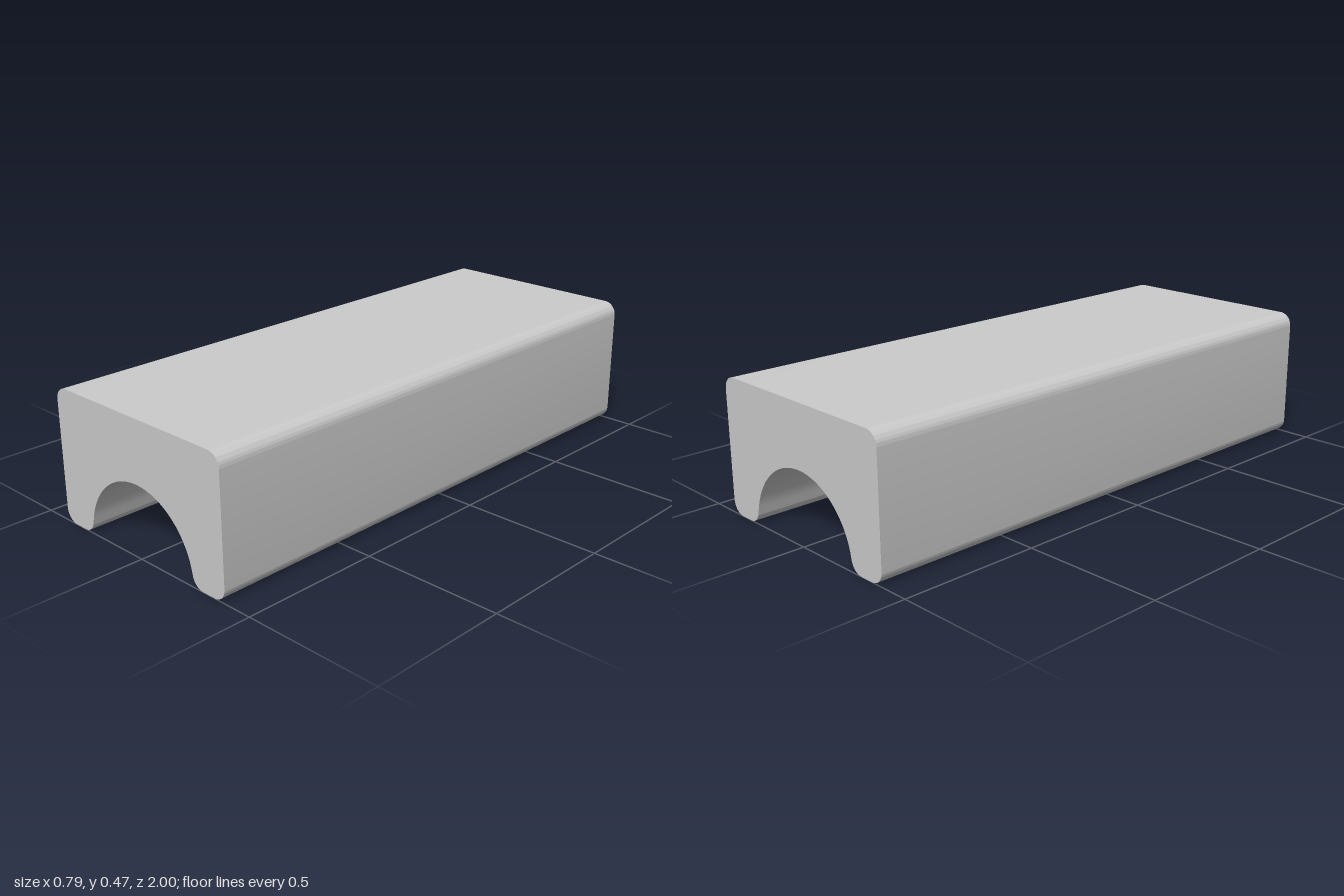
import * as THREE from 'three';
import { toCreasedNormals } from 'three/addons/utils/BufferGeometryUtils.js';

const HALF_WIDTH = 0.395, HEIGHT = 0.475, LENGTH = 2;
const CORNER = 0.047; // radius of every rounded edge
const ARCH = 0.254; // radius of the channel, centred on the ground line

// Block outline with rounded corners and an arched channel, counter-clockwise
function blockProfile() {
  const { PI } = Math;
  const x = HALF_WIDTH - CORNER;
  const top = HEIGHT - CORNER;
  // Foot fillets sit tangent to both the ground and the arch
  const footX = Math.sqrt((ARCH + CORNER) ** 2 - CORNER ** 2);
  const tilt = Math.atan2(CORNER, footX);

  const shape = new THREE.Shape();
  shape.moveTo(footX, 0);
  shape.absarc(x, CORNER, CORNER, -PI / 2, 0, false);
  shape.absarc(x, top, CORNER, 0, PI / 2, false);
  shape.absarc(-x, top, CORNER, PI / 2, PI, false);
  shape.absarc(-x, CORNER, CORNER, PI, PI * 1.5, false);
  shape.absarc(-footX, CORNER, CORNER, -PI / 2, -tilt, false);
  shape.absarc(0, 0, ARCH, PI - tilt, tilt, true);
  shape.absarc(footX, CORNER, CORNER, PI + tilt, PI * 1.5, false);
  return shape;
}

export function createModel() {
  const group = new THREE.Group();
  group.name = 'channelBlock';

  // Profile swept along z, smooth on the curves and sharp at the ends
  const geometry = new THREE.ExtrudeGeometry(blockProfile(), {
    depth: LENGTH, bevelEnabled: false, curveSegments: 16,
  });
  geometry.translate(0, 0, -LENGTH / 2);

  const block = new THREE.Mesh(
    toCreasedNormals(geometry, 0.5),
    new THREE.MeshStandardMaterial({ color: 0xcccccc }),
  );
  block.name = 'archedBlock';
  group.add(block);
  return group;
}
